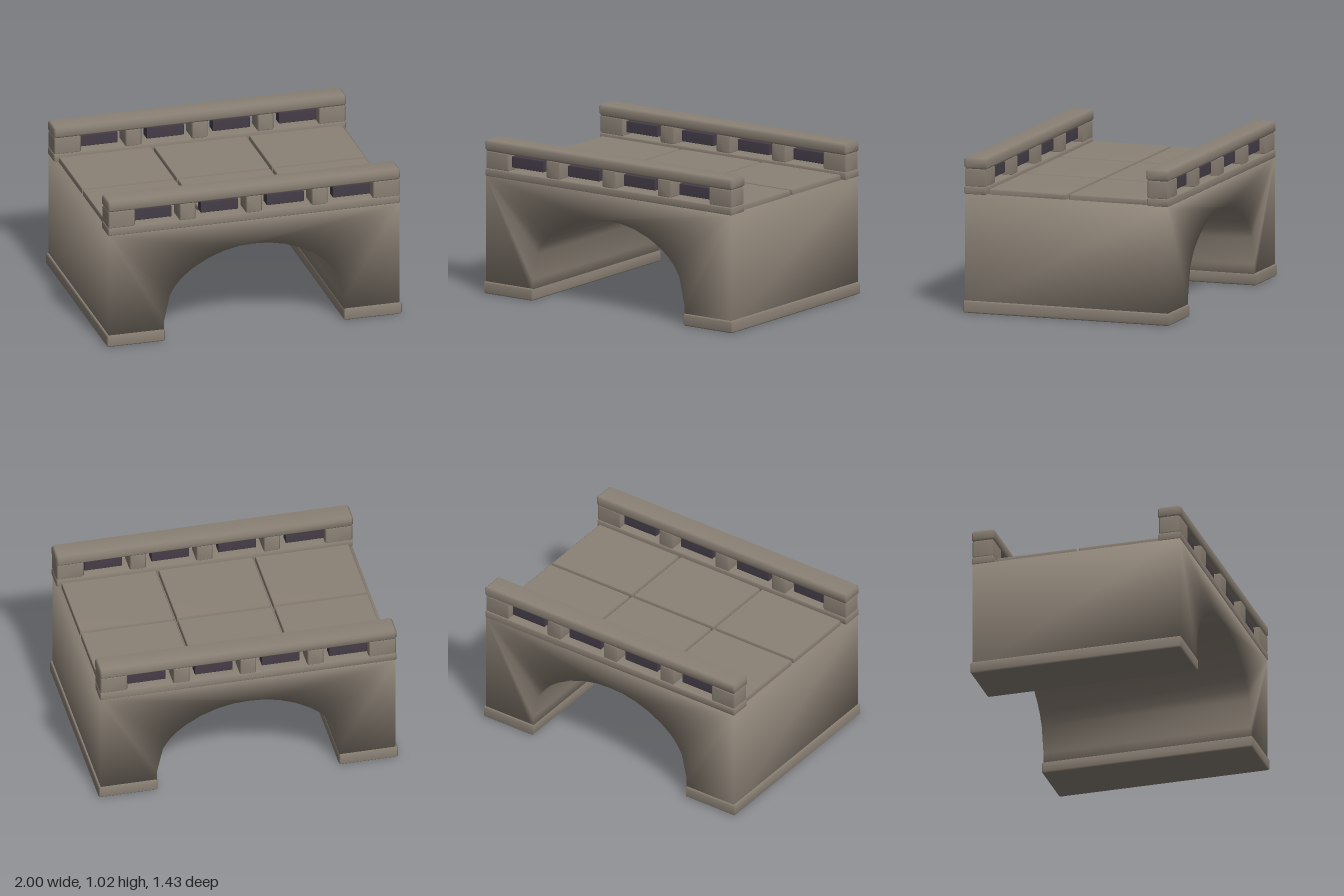
import * as THREE from 'three';
import { mergeVertices } from 'three/addons/utils/BufferGeometryUtils.js';
import { ConvexGeometry } from 'three/addons/geometries/ConvexGeometry.js';

// Weld corners so the shading flows softly across edges
function soften(geometry) {
  geometry.deleteAttribute('normal');
  geometry.deleteAttribute('uv');
  geometry.clearGroups();
  const welded = mergeVertices(geometry, 1e-4);
  welded.computeVertexNormals();
  return welded;
}

// Chamfered stone block between two values on each axis
function blockGeometry([x0, x1], [y0, y1], [z0, z1], c) {
  const h = [(x1 - x0) / 2, (y1 - y0) / 2, (z1 - z0) / 2];
  const points = [];
  for (const sx of [-1, 1]) for (const sy of [-1, 1]) for (const sz of [-1, 1])
    for (let axis = 0; axis < 3; axis++) {
      const p = h.map((v, i) => (i === axis ? v : v - c));
      points.push(new THREE.Vector3(sx * p[0], sy * p[1], sz * p[2]));
    }
  return soften(new ConvexGeometry(points)).translate((x0 + x1) / 2, (y0 + y1) / 2, (z0 + z1) / 2);
}

export function createModel() {
  const bridge = new THREE.Group();
  bridge.name = 'stoneBridge';
  const stone = new THREE.MeshStandardMaterial({ color: 0x8c8276 });
  stone.name = 'stone';
  const darkPanel = new THREE.MeshStandardMaterial({ color: 0x453d48 });
  darkPanel.name = 'darkPanel';

  function add(parent, name, geometry, material = stone) {
    const mesh = new THREE.Mesh(geometry, material);
    mesh.name = name;
    parent.add(mesh);
  }
  const block = (parent, name, x, y, z, c = 0.008, material = stone) =>
    add(parent, name, blockGeometry(x, y, z, c), material);

  // Arched body, mirrored about x = 0
  const halfArch = [[0.61, 0.03], [0.61, 0.14], [0.57, 0.32], [0.53, 0.385], [0.48, 0.44],
    [0.415, 0.49], [0.32, 0.545], [0.21, 0.587], [0.1, 0.61]];
  const outline = [[0.985, 0.785], [-0.985, 0.785], [-0.985, 0.03],
    ...halfArch.map(([x, y]) => [-x, y]), [0, 0.615], ...halfArch.slice().reverse(), [0.985, 0.03]];
  const shape = new THREE.Shape(outline.map(([x, y]) => new THREE.Vector2(x, y)));
  const body = new THREE.ExtrudeGeometry(shape, { depth: 1.41, bevelEnabled: false });
  add(bridge, 'archBody', soften(body.translate(0, 0, -0.705)));

  // Footings under both piers
  block(bridge, 'rightFooting', [-1, -0.605], [0, 0.08], [-0.717, 0.717], 0.01);
  block(bridge, 'leftFooting', [0.605, 1], [0, 0.08], [-0.717, 0.717], 0.01);

  // Paving slabs on the deck
  for (const x of [[-0.96, -0.333], [-0.318, 0.313], [0.328, 0.96]])
    for (const z of [[-0.548, -0.01], [0.01, 0.548]])
      block(bridge, 'pavingSlab', x, [0.775, 0.82], z, 0.006);

  // Parapets along the front and back edges
  for (const side of [-1, 1]) {
    const parapet = new THREE.Group();
    parapet.name = side > 0 ? 'frontParapet' : 'backParapet';
    const span = (a, b) => (side > 0 ? [a, b] : [-b, -a]);
    block(parapet, 'baseRail', [-0.99, 0.99], [0.782, 0.836], span(0.56, 0.71));
    block(parapet, 'topRail', [-0.992, 0.992], [0.95, 1.024], span(0.553, 0.712), 0.014);
    for (const x of [[-0.988, -0.805], [0.805, 0.988]])
      block(parapet, 'endPost', x, [0.832, 0.954], span(0.562, 0.706), 0.01);
    for (const x of [-0.45, 0, 0.445])
      block(parapet, 'post', [x - 0.055, x + 0.055], [0.832, 0.954], span(0.562, 0.706), 0.01);
    for (const x of [-0.675, -0.225, 0.222, 0.67])
      block(parapet, 'darkPanel', [x - 0.126, x + 0.126], [0.858, 0.932], span(0.595, 0.67), 0.003, darkPanel);
    bridge.add(parapet);
  }
  return bridge;
}
